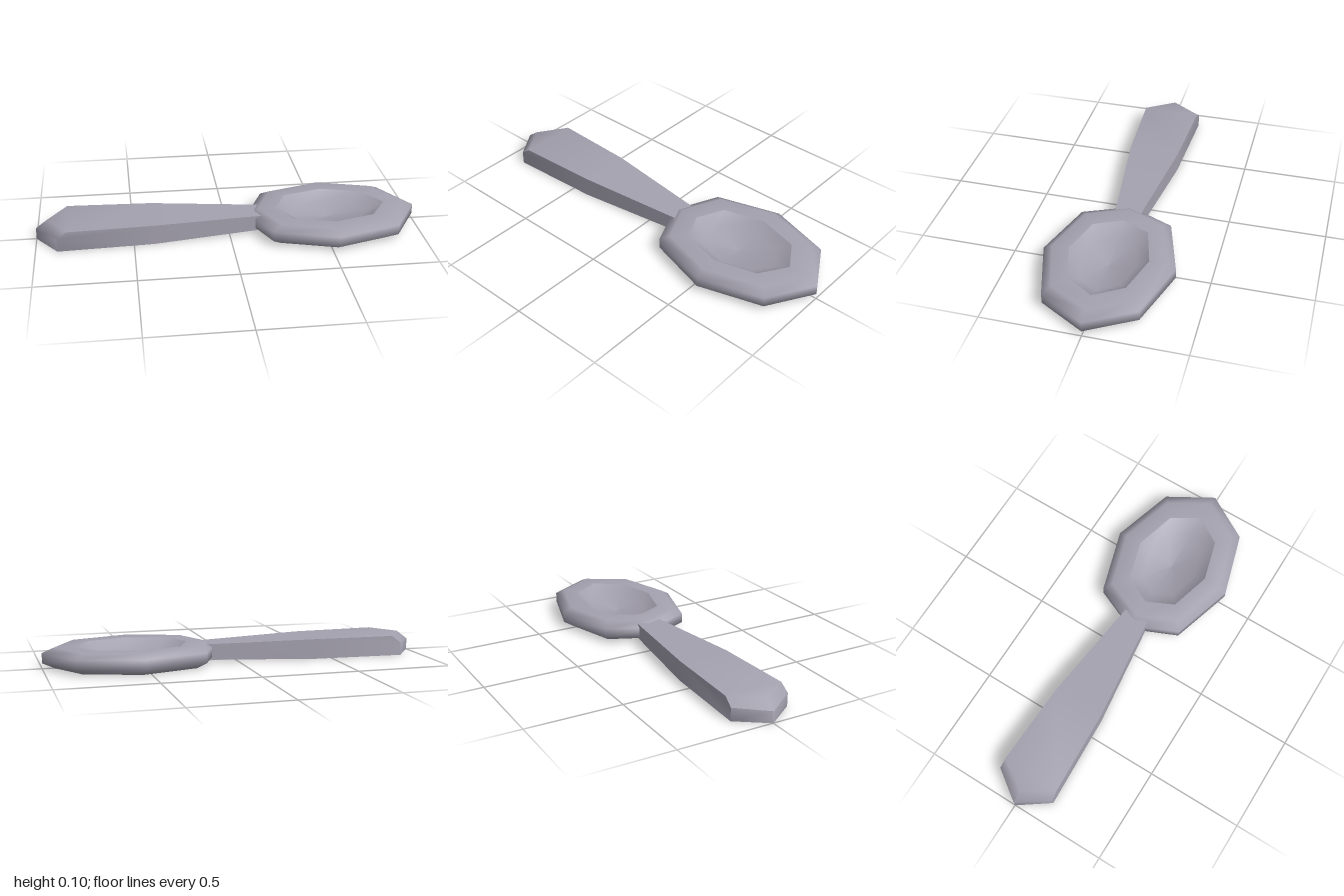
import * as THREE from 'three';
import { toCreasedNormals } from 'three/addons/utils/BufferGeometryUtils.js';
import { ConvexGeometry } from 'three/addons/geometries/ConvexGeometry.js';

// Eight-sided outline of the spoon head, [x, z] around its centre
const OUTLINE = [[0.465, 0], [0.327, 0.235], [0, 0.333], [-0.327, 0.235],
  [-0.43, 0], [-0.327, -0.235], [0, -0.333], [0.327, -0.235]];

// Smooth skin over scaled copies of the outline; each ring is [scaleX, scaleZ, y]
function ringSkin(rings) {
  const n = OUTLINE.length;
  const pos = [];
  const index = [];
  for (const [sx, sz, y] of rings) {
    for (const [x, z] of OUTLINE) pos.push(x * sx, y, z * sz);
  }
  for (let r = 0; r < rings.length - 1; r++) {
    for (let i = 0; i < n; i++) {
      const a = r * n + i;
      const b = r * n + (i + 1) % n;
      index.push(a, a + n, b, b, a + n, b + n);
    }
  }
  const geo = new THREE.BufferGeometry();
  geo.setAttribute('position', new THREE.Float32BufferAttribute(pos, 3));
  geo.setIndex(index);
  geo.computeVertexNormals();
  return geo;
}

export function createModel() {
  const model = new THREE.Group();
  model.name = 'spoon';
  const metal = new THREE.MeshStandardMaterial({ color: 0xa5a2b0 });
  metal.name = 'grey metal';

  const head = new THREE.Group();
  head.name = 'head';
  head.position.x = 0.535;
  model.add(head);

  const add = (parent, name, geo) => {
    const mesh = new THREE.Mesh(geo, metal);
    mesh.name = name;
    parent.add(mesh);
  };

  // Underside, bevelled wall and flat top rim
  add(head, 'headShell', ringSkin([
    [0.001, 0.001, 0], [0.87, 0.865, 0], [1, 1, 0.028],
    [1, 1, 0.08], [0.87, 0.865, 0.105], [0.65, 0.605, 0.105],
  ]));

  // Hollow inside the rim
  add(head, 'bowl', ringSkin([
    [0.65, 0.605, 0.105], [0.46, 0.42, 0.058], [0.001, 0.001, 0.035],
  ]));

  // Tapered handle with a pointed end, bevelled on top
  const points = [];
  const pair = (x, y, z) => points.push(new THREE.Vector3(x, y, z), new THREE.Vector3(x, y, -z));
  pair(-1, 0, 0.002);
  pair(-1, 0.06, 0.002);
  pair(-0.94, 0.105, 0.002);
  pair(-0.89, 0, 0.157);
  pair(-0.89, 0.068, 0.157);
  pair(-0.84, 0.105, 0.154);
  pair(-0.4, 0, 0.135);
  pair(-0.4, 0.105, 0.135);
  pair(0.18, 0.014, 0.066);
  pair(0.18, 0.094, 0.066);
  add(model, 'handle', toCreasedNormals(new ConvexGeometry(points), 1.0));

  return model;
}
